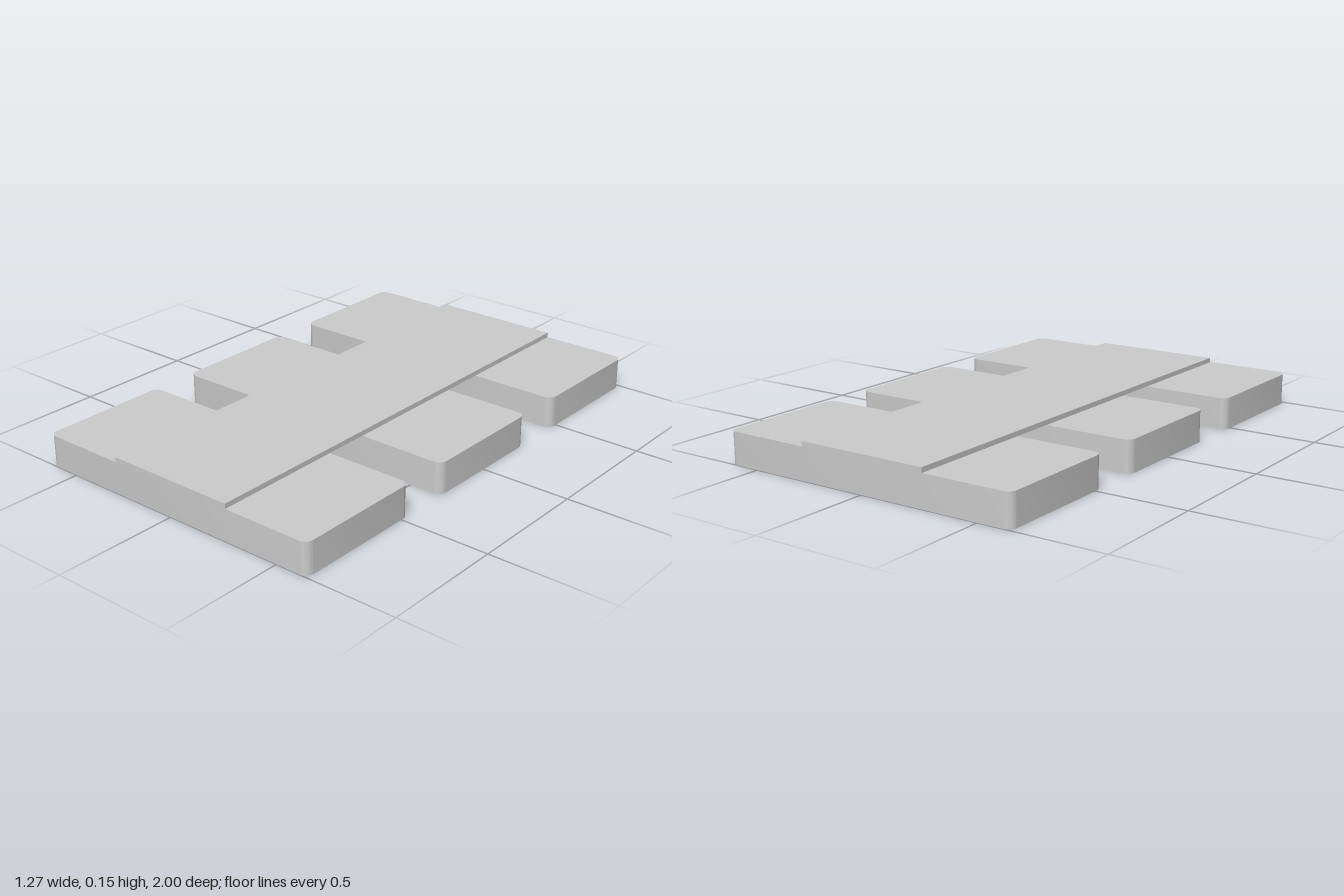
import * as THREE from 'three';
import { toCreasedNormals } from 'three/addons/utils/BufferGeometryUtils.js';

const SLAT = { width: 1.27, depth: 0.543, height: 0.128, radius: 0.035 };
const STRIP = { width: 0.543, height: 0.02, length: 2 };

// Flat slab with rounded vertical corners, standing on y = 0
function roundedSlab({ width, depth, height, radius: r }) {
  const x = width / 2, y = depth / 2;
  const shape = new THREE.Shape();
  shape.absarc(x - r, y - r, r, 0, Math.PI / 2);
  shape.absarc(-x + r, y - r, r, Math.PI / 2, Math.PI);
  shape.absarc(-x + r, -y + r, r, Math.PI, Math.PI * 1.5);
  shape.absarc(x - r, -y + r, r, Math.PI * 1.5, Math.PI * 2);
  shape.closePath();
  const geometry = new THREE.ExtrudeGeometry(shape, { depth: height, bevelEnabled: false, curveSegments: 8 });
  geometry.rotateX(-Math.PI / 2);
  return toCreasedNormals(geometry, Math.PI / 6);
}

export function createModel() {
  const group = new THREE.Group();
  group.name = 'slattedPlatform';
  const material = new THREE.MeshStandardMaterial({ color: 0xcccccc });

  // Three equal cross slats
  const slatGeometry = roundedSlab(SLAT);
  const spacing = 1 - SLAT.depth / 2;
  ['backSlat', 'middleSlat', 'frontSlat'].forEach((name, i) => {
    const slat = new THREE.Mesh(slatGeometry, material);
    slat.name = name;
    slat.position.z = (i - 1) * spacing;
    group.add(slat);
  });

  // Thin strip lying along the slats, joining them
  const strip = new THREE.Mesh(new THREE.BoxGeometry(STRIP.width, STRIP.height, STRIP.length), material);
  strip.name = 'centreStrip';
  strip.position.y = SLAT.height + STRIP.height / 2;
  group.add(strip);

  return group;
}
